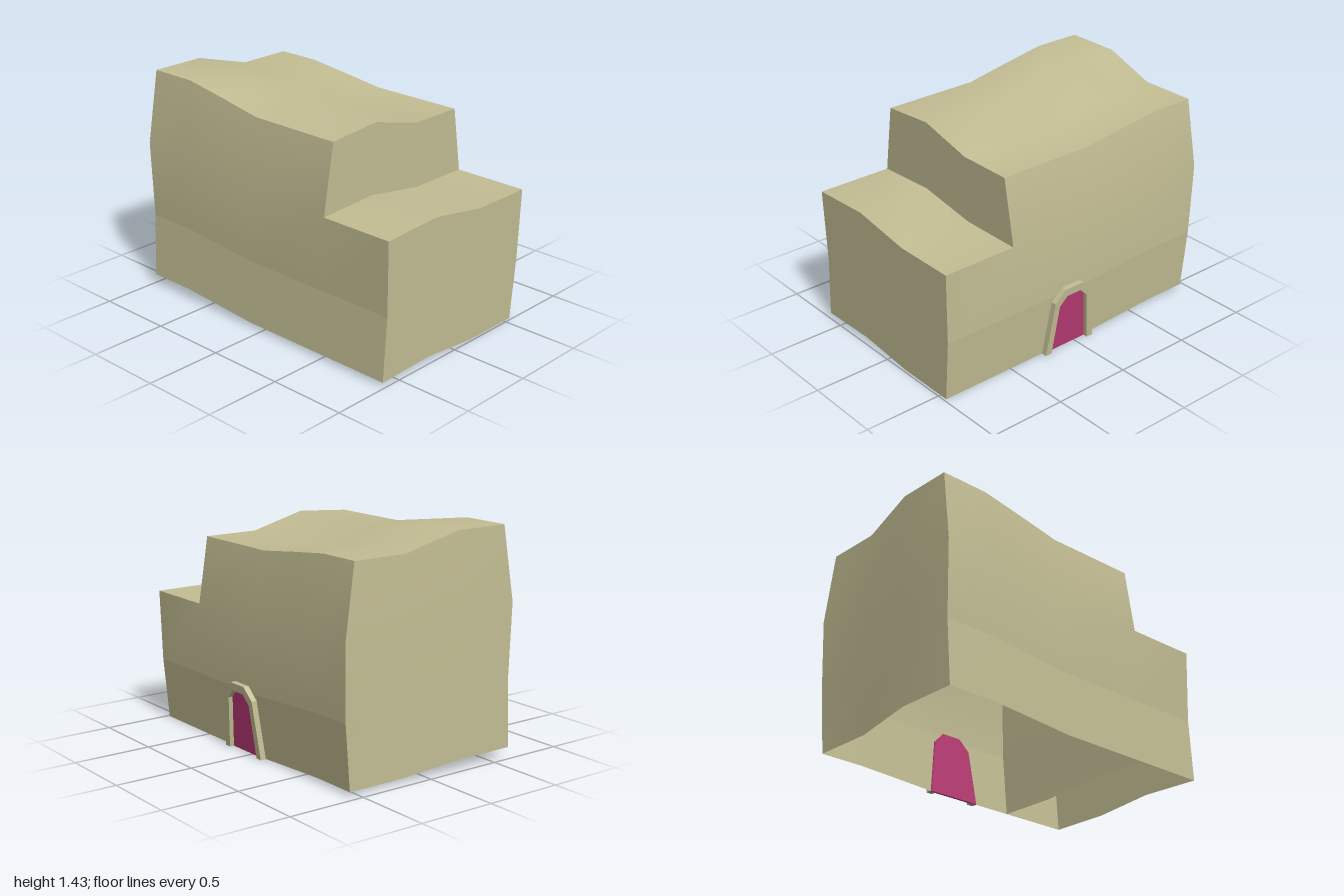
import * as THREE from 'three';
import { toCreasedNormals } from 'three/addons/utils/BufferGeometryUtils.js';

// Warped grid: columns along x (last one is the low wing), levels along y, rows front to back
const COL_X = [-1, -0.67, -0.4, -0.1, 0.515, 1];
const COL_RISE = [1, 1, 0.55, 0, 0, 0];
const ROW_RISE = [0.8, 1.12, 0, 0];
const LEVELS = [
  { y: 0.0, amp: 0.034, front: 0.625, back: -0.555, left: -0.985, right: 0.985 },
  { y: 0.395, amp: 0.04, front: 0.6, back: -0.59, left: -0.99, right: 0.99 },
  { y: 0.85, amp: 0.058, front: 0.61, back: -0.6, left: -1.0, right: 1.0 },
  { y: 1.265, amp: 0.083, front: 0.54, back: -0.53, left: -0.985, right: 0.99 },
];

function point(c, l, r) {
  const L = LEVELS[l];
  let x = COL_X[c];
  if (c === 0) x = L.left + (r > 1 ? 0.035 : 0);
  if (c === 5) x = L.right;
  if (c === 4 && l === 3) x = 0.52;
  const rise = COL_RISE[c] * (r < 2 ? 1.2 : 0.8) + ROW_RISE[r];
  const y = L.y + L.amp * Math.min(rise, 2);
  return [x, y, L.front + (L.back - L.front) * r / 3];
}

// Grid surface over integer ranges, with an optional test that leaves cells out
function patch(name, material, [u0, u1], [v0, v1], at, keep = () => true) {
  const pos = [];
  const step = Math.sign(u1 - u0);
  for (let u = u0; u !== u1; u += step) {
    for (let v = v0; v < v1; v++) {
      if (!keep(Math.min(u, u + step), v)) continue;
      const a = at(u, v), b = at(u + step, v), c = at(u + step, v + 1), d = at(u, v + 1);
      pos.push(...a, ...b, ...c, ...a, ...c, ...d);
    }
  }
  const geo = new THREE.BufferGeometry();
  geo.setAttribute('position', new THREE.Float32BufferAttribute(pos, 3));
  const mesh = new THREE.Mesh(toCreasedNormals(geo, 0.6), material);
  mesh.name = name;
  return mesh;
}

// Half-arch corners (half width, height), mirrored into a full outline
const DOOR_X = 0.06;
const outer = [[0.19, 0], [0.145, 0.36], [0.07, 0.435]];
const inner = [[0.145, 0], [0.108, 0.33], [0.052, 0.385]];
const arch = (half) => [...half, ...half.map(([x, y]) => [-x, y]).reverse()];

// Extruded outline that leans with the back wall, from depth z0 to z1 relative to it
function archPart(name, material, outline, z0, z1) {
  const shape = new THREE.Shape(outline.map(([x, y]) => new THREE.Vector2(x + DOOR_X, y)));
  const geo = new THREE.ExtrudeGeometry(shape, { depth: z1 - z0, bevelEnabled: false });
  const p = geo.attributes.position;
  for (let i = 0; i < p.count; i++) {
    p.setZ(i, p.getZ(i) + z0 - 0.555 - 0.0875 * p.getY(i));
  }
  geo.computeVertexNormals();
  const mesh = new THREE.Mesh(geo, material);
  mesh.name = name;
  return mesh;
}

export function createModel() {
  const model = new THREE.Group();
  model.name = 'adobeHouse';
  const clay = new THREE.MeshStandardMaterial({ color: 0xc4be94, side: THREE.DoubleSide });
  const doorMat = new THREE.MeshStandardMaterial({ color: 0xb83a74, side: THREE.DoubleSide });

  // Long walls: a base band and the upper wall, which stops at the step
  const belowStep = (c, l) => !(c === 4 && l === 2);
  for (const [part, [l0, l1]] of [['Base', [0, 1]], ['Upper', [1, 3]]]) {
    model.add(patch('frontWall' + part, clay, [0, 5], [l0, l1], (c, l) => point(c, l, 0), belowStep));
    model.add(patch('backWall' + part, clay, [5, 0], [l0, l1], (c, l) => point(c, l, 3), belowStep));
  }

  // End walls, and the wall between the tall room and the wing
  model.add(patch('tallEndWall', clay, [3, 0], [0, 3], (r, l) => point(0, l, r)));
  model.add(patch('wingEndWall', clay, [0, 3], [0, 2], (r, l) => point(5, l, r)));
  model.add(patch('dividingWall', clay, [0, 3], [0, 3], (r, l) => point(4, l, r)));

  // Roofs; the underside stays open
  model.add(patch('tallRoof', clay, [0, 4], [0, 3], (c, r) => point(c, 3, r)));
  model.add(patch('wingRoof', clay, [4, 5], [0, 3], (c, r) => point(c, 2, r)));

  // Arched doorway on the back
  model.add(archPart('doorFrame', clay, [...arch(outer), ...arch(inner).reverse()], -0.037, 0));
  model.add(archPart('door', doorMat, arch(outer.map(([x, y]) => [x * 0.97, y * 0.97])), -0.008, 0.008));
  return model;
}
